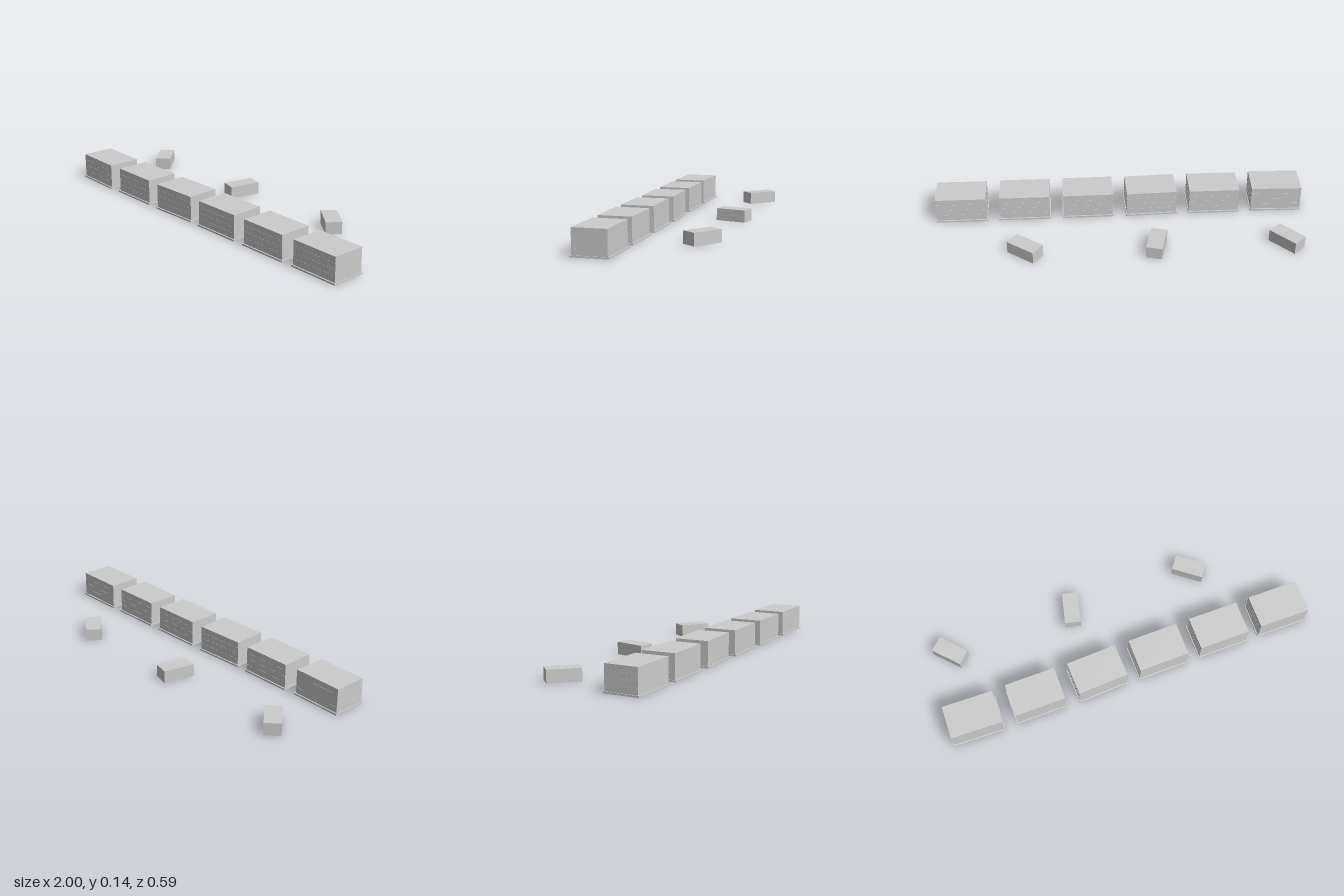
import * as THREE from 'three';

export function createModel() {
  const model = new THREE.Group();
  const grey = new THREE.MeshStandardMaterial({ color: 0xcccccc });
  grey.name = 'light grey';

  function box(parent, name, w, h, d, bottom) {
    const mesh = new THREE.Mesh(new THREE.BoxGeometry(w, h, d), grey);
    mesh.name = name;
    mesh.position.y = bottom + h / 2;
    parent.add(mesh);
    return mesh;
  }

  // Row of slab blocks, each on a plinth and turned very slightly
  const W = 0.27, D = 0.176, BASE = 0.009, TOP = 0.138;
  const turns = [-0.035, -0.008, 0.03, 0, -0.008, -0.012];
  turns.forEach((turn, i) => {
    const block = new THREE.Group();
    block.name = 'block' + (i + 1);
    block.position.set((i - 2.5) * 0.343, 0, 0.195);
    block.rotation.y = turn;
    box(block, 'plinth', 0.28, BASE, 0.191, 0);
    box(block, 'body', W, TOP - BASE, D, BASE);
    // Floor bands dividing four storeys
    const storey = (TOP - BASE) / 4;
    for (let f = 1; f < 4; f++) {
      box(block, 'floorBand', W + 0.002, 0.002, D + 0.002, BASE + f * storey - 0.001);
    }
    model.add(block);
  });

  // Low loose buildings behind: x, turn
  [[-0.86, -0.83], [-0.173, 1.32], [0.512, -0.66]].forEach(([x, turn], i) => {
    const low = box(model, 'lowBuilding' + (i + 1), 0.17, 0.066, 0.085, 0);
    low.position.x = x;
    low.position.z = -0.203;
    low.rotation.y = turn;
  });

  return model;
}
